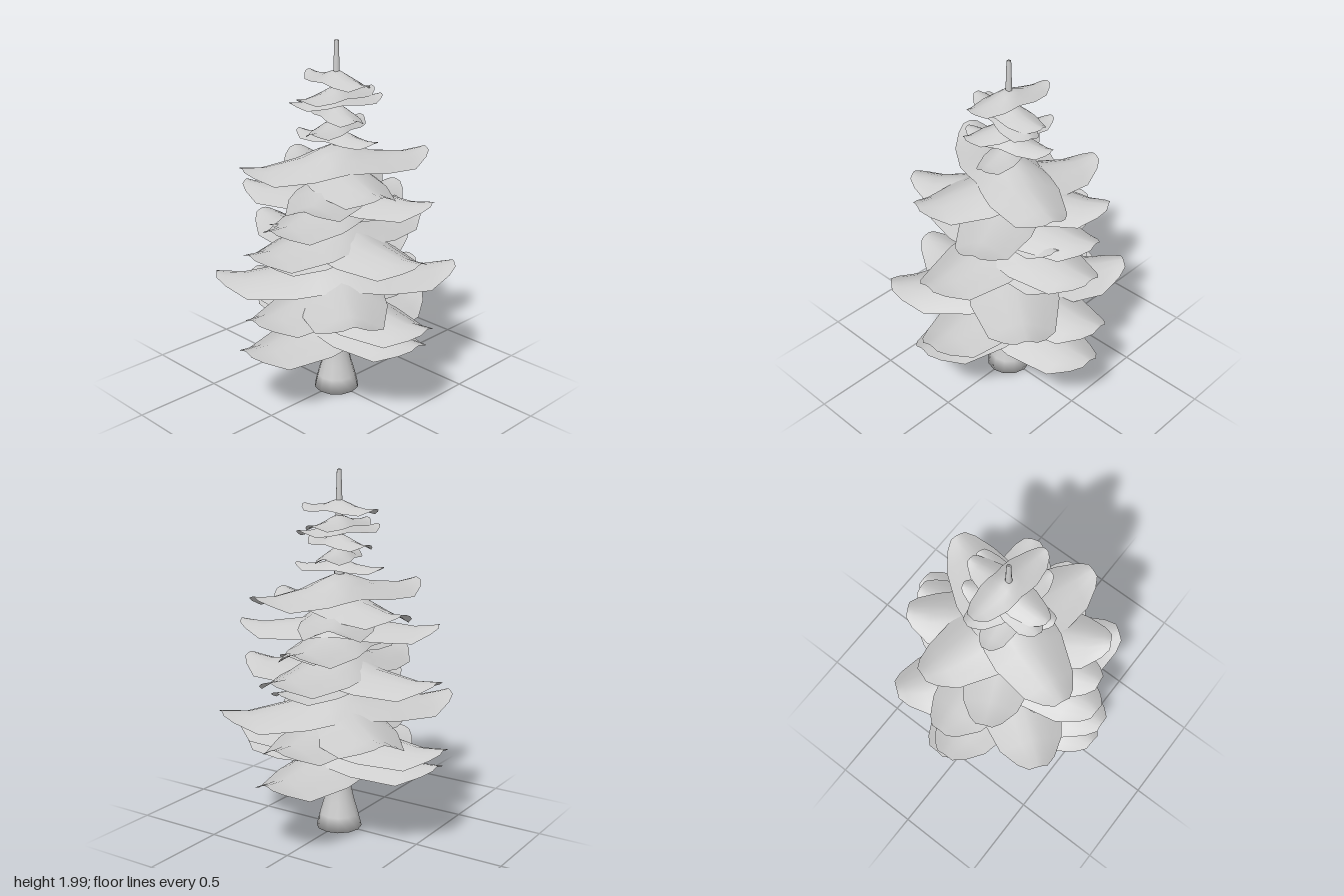
import * as THREE from 'three';

const material = new THREE.MeshStandardMaterial({ color: 0xcccccc, side: THREE.DoubleSide });

// Stations along half a bough, as fractions of its reach:
// [distance, half width, ridge height, edge height], heights measured from the tip
const STATIONS = [
  [0, 0.35, 0.15, -0.09],
  [0.17, 0.37, 0.10, -0.10],
  [0.38, 0.37, 0.025, -0.125],
  [0.76, 0.27, -0.025, -0.15],
  [0.93, 0.16, -0.01, -0.07],
  [1, 0.08, 0, -0.025],
];
const ACROSS = 6;

// One bough: an arched sheet running through the trunk, with a drooping end on each side
function boughGeometry(reach) {
  const rows = [
    ...STATIONS.slice(1).reverse().map(([d, ...rest]) => [-d, ...rest]),
    ...STATIONS,
  ];
  const positions = [];
  const indices = [];
  rows.forEach(([d, width, ridge, edge], r) => {
    for (let i = 0; i <= ACROSS; i++) {
      const u = (i / ACROSS) * 2 - 1;
      const y = ridge + (edge - ridge) * Math.pow(Math.abs(u), 1.5);
      positions.push(d * reach, y * reach, u * width * reach);
      if (r < rows.length - 1 && i < ACROSS) {
        const a = r * (ACROSS + 1) + i;
        const b = a + ACROSS + 1;
        indices.push(a, a + 1, b, b, a + 1, b + 1);
      }
    }
  });
  const geometry = new THREE.BufferGeometry();
  geometry.setAttribute('position', new THREE.Float32BufferAttribute(positions, 3));
  geometry.setIndex(indices);
  geometry.computeVertexNormals();
  return geometry;
}

// [tip height, reach, heading in degrees from +x towards +z]
const BOUGHS = [
  [0.44, 0.64, 3],
  [0.50, 0.64, 93],
  [0.57, 0.64, 87],
  [0.64, 0.64, -3],
  [0.69, 0.66, -53],
  [0.75, 0.66, 38],
  [0.88, 0.46, 12],
  [0.94, 0.61, 90],
  [0.98, 0.61, 2],
  [1.08, 0.41, 10],
  [1.12, 0.55, -8],
  [1.19, 0.54, 66],
  [1.25, 0.54, -28],
  [1.31, 0.53, -71],
  [1.38, 0.53, 22],
  [1.50, 0.25, 80],
  [1.56, 0.25, -14],
  [1.63, 0.25, -70],
  [1.70, 0.26, 20],
  [1.73, 0.25, 4],
  [1.81, 0.25, -82],
];

export function createModel() {
  const tree = new THREE.Group();
  tree.name = 'coniferTree';

  // Flared trunk tapering to a thin spike, closed underneath
  const profile = [
    [0, 0.012], [0.127, 0.012], [0.108, 0.09], [0.085, 0.17], [0.067, 0.25],
    [0.055, 0.36], [0.047, 0.48], [0.040, 0.85], [0.030, 1.3], [0.020, 1.75],
    [0.012, 2], [0, 2],
  ].map(([r, y]) => new THREE.Vector2(r, y));
  const trunk = new THREE.Mesh(new THREE.LatheGeometry(profile, 12), material);
  trunk.name = 'trunk';
  tree.add(trunk);

  // Boughs stacked up the trunk
  const boughs = new THREE.Group();
  boughs.name = 'boughs';
  for (const [height, reach, heading] of BOUGHS) {
    const bough = new THREE.Mesh(boughGeometry(reach), material);
    bough.name = 'bough';
    bough.position.y = height;
    bough.rotation.y = -THREE.MathUtils.degToRad(heading);
    boughs.add(bough);
  }
  tree.add(boughs);
  return tree;
}
